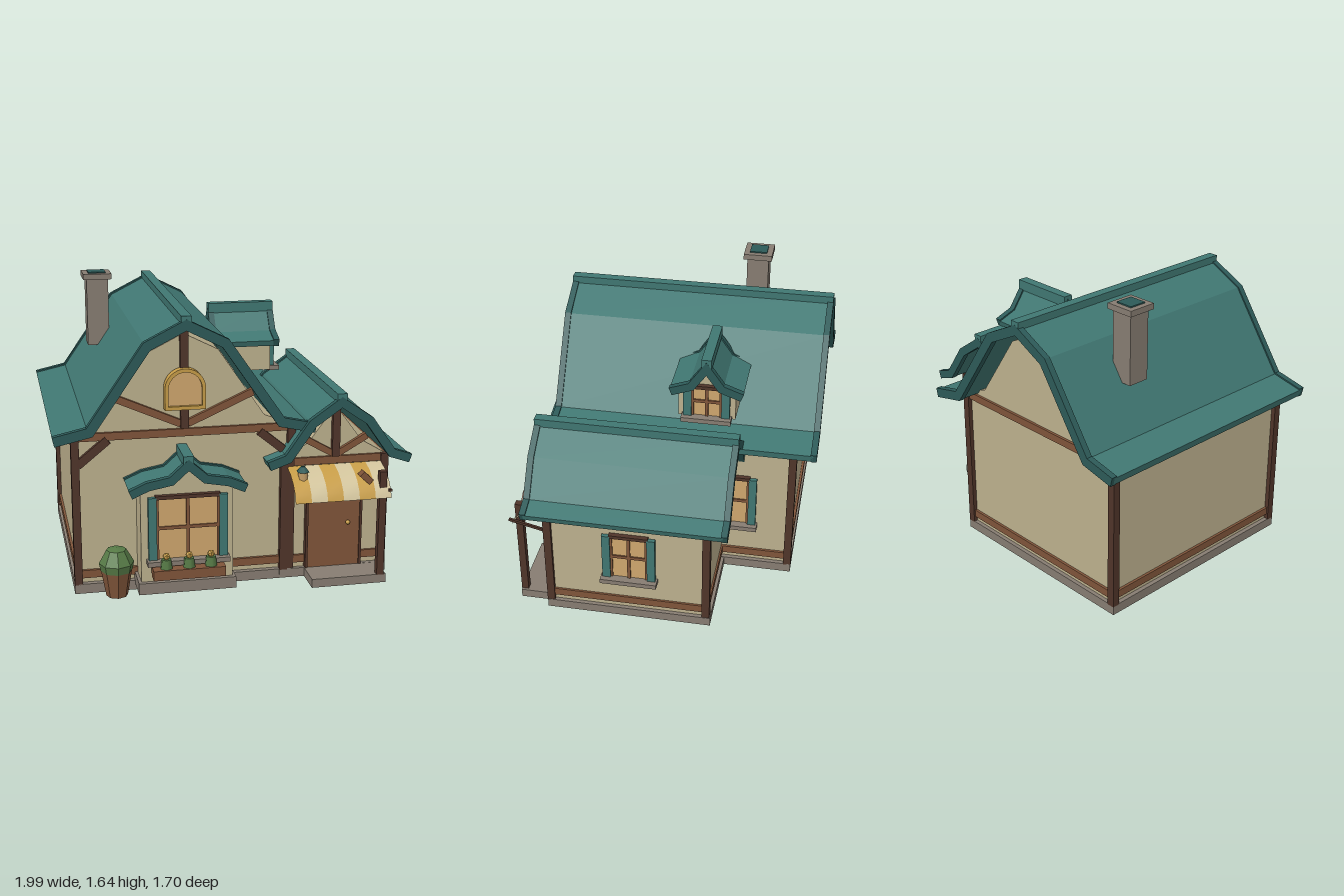
import * as THREE from 'three';

const mat = (name, color, extra = {}) => Object.assign(new THREE.MeshStandardMaterial({ color, ...extra }), { name });

export function createModel() {
  const M = {
    roof: mat('roof teal', 0x407772),
    trim: mat('dark teal trim', 0x2d5a58),
    wall: mat('plaster', 0xbdb18e),
    dark: mat('dark timber', 0x50352a),
    wood: mat('timber', 0x80553a),
    glass: mat('warm glass', 0xcfa76e),
    stone: mat('stone', 0x877d72),
    leaf: mat('leaf green', 0x567a46),
    gold: mat('gold', 0xc79d48, { side: THREE.DoubleSide }),
    cream: mat('awning cream', 0xd2c49c, { side: THREE.DoubleSide }),
  };
  const house = new THREE.Group();
  house.name = 'cottage';

  const add = (parent, name, geo, material, x = 0, y = 0, z = 0) => {
    const m = new THREE.Mesh(geo, material);
    m.name = name;
    m.position.set(x, y, z);
    parent.add(m);
    return m;
  };
  // box given by its minimum and maximum on each axis
  const box = (name, material, x0, x1, y0, y1, z0, z1, parent = house) =>
    add(parent, name, new THREE.BoxGeometry(x1 - x0, y1 - y0, z1 - z0), material, (x0 + x1) / 2, (y0 + y1) / 2, (z0 + z1) / 2);
  // bar between two points in a plane of constant z
  const bar = (name, material, a, b, width, z, depth, parent = house) => {
    const dx = b[0] - a[0], dy = b[1] - a[1];
    const m = add(parent, name, new THREE.BoxGeometry(Math.hypot(dx, dy), width, depth), material, (a[0] + b[0]) / 2, (a[1] + b[1]) / 2, z);
    m.rotation.z = Math.atan2(dy, dx);
    return m;
  };
  const prism = (name, material, pts, z0, z1, parent = house) => {
    const shape = new THREE.Shape(pts.map(p => new THREE.Vector2(p[0], p[1])));
    return add(parent, name, new THREE.ExtrudeGeometry(shape, { depth: z1 - z0, bevelEnabled: false }), material, 0, 0, z0);
  };
  // half profile [half width, y] from ridge to eave, mirrored about cx, running left to right
  const mirror = (half, cx) => [
    ...half.slice().reverse().map(([w, y]) => [cx - w, y]),
    ...half.filter(([w]) => w > 0).map(([w, y]) => [cx + w, y]),
  ];
  // mitred offset of a polyline, positive is outward (up)
  const offset = (pts, d) => pts.map((p, i) => {
    const normal = (a, b) => {
      const l = Math.hypot(b[0] - a[0], b[1] - a[1]);
      return [-(b[1] - a[1]) / l, (b[0] - a[0]) / l];
    };
    const n0 = normal(pts[Math.max(i - 1, 0)], pts[Math.max(i, 1)]);
    const n1 = normal(pts[Math.min(i, pts.length - 2)], pts[Math.min(i + 1, pts.length - 1)]);
    const k = d / (1 + n0[0] * n1[0] + n0[1] * n1[1]);
    return [p[0] + (n0[0] + n1[0]) * k, p[1] + (n0[1] + n1[1]) * k];
  });
  const band = (pts, up, down) => [...offset(pts, up), ...offset(pts, -down).reverse()];

  // bent roof with dark end trims and a ridge cap
  const roof = (name, half, cx, z0, z1, t, parent = house) => {
    const g = new THREE.Group();
    g.name = name;
    parent.add(g);
    const line = mirror(half, cx), top = half[0][1];
    prism('roofSlab', M.roof, band(line, 0, t), z0 + 0.02, z1 - 0.02, g);
    for (const [a, b] of [[z0, z0 + 0.035], [z1 - 0.035, z1]])
      prism('roofTrim', M.trim, band(line, 0.008, t + 0.004), a, b, g);
    box('ridgeCap', M.roof, cx - 0.028, cx + 0.028, top - 0.03, top + 0.028, z0 + 0.001, z1 - 0.001, g);
    return g;
  };

  // window facing +z, origin at the centre of the glass
  const makeWindow = (name, w, h, x, y, z, ry, parent = house) => {
    const g = new THREE.Group();
    g.name = name;
    const b = (n, m, ...r) => box(n, m, ...r, g);
    const a = w / 2, c = h / 2;
    b('pane', M.glass, -a, a, -c, c, 0, 0.012);
    b('mullion', M.wood, -0.009, 0.009, -c, c, 0, 0.022);
    b('crossbar', M.wood, -a, a, -0.009, 0.009, 0, 0.02);
    b('lintel', M.dark, -a - 0.01, a + 0.01, c - 0.012, c + 0.008, 0, 0.028);
    b('sill', M.stone, -a - 0.06, a + 0.06, -c - 0.027, -c, -0.01, 0.06);
    for (const s of [-1, 1]) {
      b('windowJamb', M.wood, s * a - 0.008, s * a + 0.008, -c, c, 0, 0.02);
      add(g, 'shutter', new THREE.BoxGeometry(0.046, h, 0.024), M.roof, s * (a + 0.027), 0, 0.018);
    }
    g.position.set(x, y, z);
    g.rotation.y = ry;
    parent.add(g);
    return g;
  };

  // foundations
  box('mainFoundation', M.stone, -0.895, 0.345, 0, 0.055, -0.735, 0.605);
  box('wingFoundation', M.stone, 0.265, 0.893, 0.001, 0.053, -0.337, 0.607);

  // walls with their gables
  const mainGable = [[0, 1.44], [0.19, 1.345], [0.45, 0.965], [0.595, 0.91], [0.595, 0.05]];
  prism('mainWalls', M.wall, mirror(mainGable, -0.275), -0.712, 0.575);
  prism('wingWalls', M.wall, mirror([[0, 1.0], [0.155, 0.79], [0.29, 0.71], [0.29, 0.05]], 0.58), -0.315, 0.583);

  // corner posts
  const post = (x, z, top) => box('cornerPost', M.dark, x - 0.022, x + 0.022, 0.05, top, z - 0.022, z + 0.022);
  for (const [x, z] of [[-0.873, 0.583], [-0.873, -0.714], [0.323, -0.714], [0.325, 0.58]]) post(x, z, 0.91);
  for (const [x, z] of [[0.287, 0.587], [0.868, 0.587], [0.868, -0.31]]) post(x, z, 0.71);

  // horizontal beams round each block
  const ring = (name, x0, x1, z0, z1, y0, y1) => {
    box(name, M.wood, x0, x1, y0, y1, z1 - 0.03, z1);
    box(name, M.wood, x0, x1, y0, y1, z0, z0 + 0.03);
    box(name, M.wood, x0, x0 + 0.03, y0, y1, z0, z1);
    box(name, M.wood, x1 - 0.03, x1, y0, y1, z0, z1);
  };
  for (const [y0, y1] of [[0.085, 0.13], [0.872, 0.915]]) ring('mainBeam', -0.885, 0.335, -0.727, 0.592, y0, y1);
  for (const [y0, y1] of [[0.084, 0.129], [0.665, 0.708]]) ring('wingBeam', 0.277, 0.882, -0.325, 0.598, y0, y1);

  // gable timbers and knee braces
  box('mainKingPost', M.dark, -0.297, -0.253, 0.92, 1.47, 0.57, 0.605);
  box('wingKingPost', M.dark, 0.558, 0.602, 0.71, 1.0, 0.575, 0.612);
  for (const s of [-1, 1]) {
    bar('mainGableBrace', M.wood, [-0.275 + s * 0.38, 1.105], [-0.275 + s * 0.02, 0.945], 0.04, 0.583, 0.03);
    bar('wingGableBrace', M.wood, [0.58 + s * 0.18, 0.82], [0.58 + s * 0.015, 0.725], 0.036, 0.59, 0.03);
    bar('kneeBrace', M.dark, [-0.275 + s * 0.585, 0.74], [-0.275 + s * 0.42, 0.875], 0.046, 0.585, 0.03);
  }

  // roofs
  roof('mainRoof', [[0, 1.525], [0.225, 1.412], [0.535, 0.963], [0.72, 0.922]], -0.275, -0.85, 0.68, 0.042);
  roof('wingRoof', [[0, 1.068], [0.175, 0.946], [0.308, 0.755], [0.41, 0.72]], 0.58, -0.437, 0.705, 0.038);

  // chimney
  box('chimney', M.stone, -0.703, -0.575, 1.2, 1.6, -0.437, -0.309);
  box('chimneyCap', M.stone, -0.723, -0.555, 1.597, 1.63, -0.457, -0.289);
  box('chimneyFlue', M.trim, -0.69, -0.588, 1.62, 1.637, -0.424, -0.322);

  // arched attic window
  const arch = r => {
    const s = new THREE.Shape();
    s.moveTo(-r, -0.115 + (0.112 - r));
    s.lineTo(r, -0.115 + (0.112 - r));
    s.lineTo(r, 0);
    s.absarc(0, 0, r, 0, Math.PI);
    return s;
  };
  const attic = new THREE.Group();
  attic.name = 'atticWindow';
  attic.position.set(-0.275, 1.147, 0.585);
  house.add(attic);
  const rim = arch(0.112);
  rim.holes.push(arch(0.092));
  add(attic, 'archFrame', new THREE.ExtrudeGeometry(rim, { depth: 0.05, bevelEnabled: false }), M.gold);
  add(attic, 'archPane', new THREE.ExtrudeGeometry(arch(0.1), { depth: 0.03, bevelEnabled: false }), M.glass);

  // bay window with small roof and flower box
  box('bayBase', M.stone, -0.56, -0.02, 0.035, 0.1, 0.56, 0.765);
  box('bayWalls', M.wall, -0.543, -0.035, 0.1, 0.64, 0.56, 0.74);
  prism('bayGable', M.wall, mirror([[0, 0.74], [0.08, 0.66], [0.25, 0.63]], -0.29), 0.56, 0.74);
  roof('bayRoof', [[0, 0.798], [0.1, 0.708], [0.225, 0.685], [0.32, 0.643]], -0.29, 0.56, 0.812, 0.035);
  makeWindow('bayWindow', 0.335, 0.355, -0.287, 0.412, 0.74, 0);
  box('flowerBox', M.wood, -0.49, -0.094, 0.145, 0.2, 0.765, 0.845);
  for (const x of [-0.415, -0.29, -0.17]) {
    add(house, 'flowerLeaves', new THREE.CylinderGeometry(0.028, 0.036, 0.055, 6), M.leaf, x, 0.225, 0.805);
    add(house, 'flower', new THREE.IcosahedronGeometry(0.022, 0), M.gold, x, 0.267, 0.805);
  }

  // side windows
  makeWindow('wingWindow', 0.2, 0.285, 0.87, 0.423, 0.125, Math.PI / 2);
  makeWindow('sideWindow', 0.2, 0.32, 0.32, 0.485, -0.365, Math.PI / 2);

  // dormer, built facing +z and turned towards +x
  const dormer = new THREE.Group();
  dormer.name = 'dormer';
  dormer.position.set(0, 0, -0.222);
  dormer.rotation.y = Math.PI / 2;
  house.add(dormer);
  prism('dormerWalls', M.wall, mirror([[0, 1.37], [0.07, 1.27], [0.16, 1.23], [0.16, 1.06]], 0), 0.05, 0.36, dormer);
  roof('dormerRoof', [[0, 1.42], [0.095, 1.285], [0.205, 1.245]], 0, 0.008, 0.405, 0.035, dormer);
  makeWindow('dormerWindow', 0.16, 0.185, 0, 1.17, 0.36, 0, dormer);

  // door and step
  box('doorStep', M.stone, 0.41, 0.84, 0.002, 0.052, 0.59, 0.78);
  box('door', M.wood, 0.42, 0.732, 0.055, 0.56, 0.58, 0.612);
  for (const x of [0.412, 0.728]) box('doorJamb', M.dark, x, x + 0.014, 0.055, 0.56, 0.58, 0.62);
  add(house, 'doorKnob', new THREE.SphereGeometry(0.013, 10, 8), M.gold, 0.655, 0.32, 0.63);

  // striped awning, one curved strip per stripe
  const drop = [[0.6, 0.665], [0.68, 0.645], [0.75, 0.605], [0.79, 0.56], [0.807, 0.515]];
  for (let i = 0; i < 6; i++) {
    const x0 = 0.3 + i * 0.091;
    const geo = new THREE.PlaneGeometry(0.091, 1, 1, drop.length - 1);
    const p = geo.attributes.position;
    for (let j = 0; j < p.count; j++) {
      const [z, y] = drop[Math.floor(j / 2)];
      p.setXYZ(j, x0 + (j % 2) * 0.091, y, z);
    }
    geo.computeVertexNormals();
    add(house, 'awningStripe', geo, i % 2 ? M.cream : M.gold);
  }
  box('awningPost', M.dark, 0.785, 0.825, 0.05, 0.66, 0.742, 0.782);
  const arm = box('awningArm', M.dark, 0.832, 0.846, 0.53, 0.545, 0.605, 0.82);
  arm.rotation.x = -0.24;
  bar('awningBrace', M.wood, [0.685, 0.65], [0.74, 0.6], 0.036, 0.745, 0.05);

  // hanging lantern
  box('lanternBracket', M.wood, 0.35, 0.38, 0.605, 0.64, 0.6, 0.67);
  add(house, 'lanternGlass', new THREE.CylinderGeometry(0.03, 0.024, 0.06, 6), M.glass, 0.365, 0.64, 0.705);
  add(house, 'lanternCap', new THREE.CylinderGeometry(0.012, 0.037, 0.03, 6), M.trim, 0.365, 0.68, 0.705);

  // potted shrub
  const flat = geo => {
    const g = geo.toNonIndexed();
    g.computeVertexNormals();
    return g;
  };
  add(house, 'plantPot', flat(new THREE.CylinderGeometry(0.088, 0.06, 0.16, 8)), M.wood, -0.67, 0.088, 0.67);
  const bush = [[0, 0.14], [0.088, 0.155], [0.097, 0.2], [0.055, 0.275], [0, 0.287]].map(p => new THREE.Vector2(...p));
  add(house, 'shrub', flat(new THREE.LatheGeometry(bush, 8)), M.leaf, -0.67, 0, 0.67);

  return house;
}
